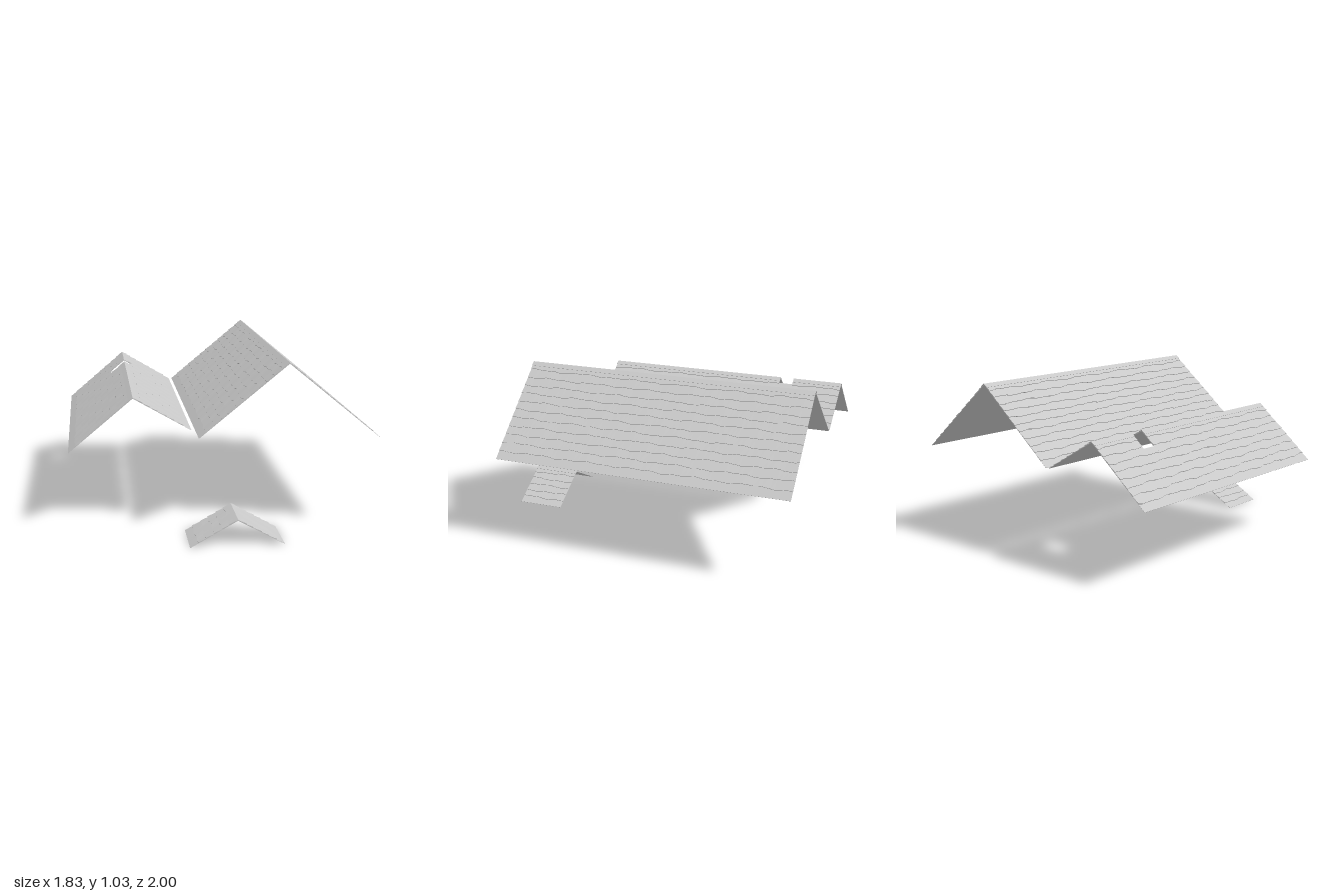
import * as THREE from 'three';

const shingle = new THREE.MeshStandardMaterial({ color: 0xc8c8c8, side: THREE.DoubleSide, flatShading: true });
shingle.name = 'light grey shingle';

const LIFT = 0.005; // how far each course's butt edge stands proud
const DEPTH = 0.004; // underside depth at the ridge, tapering to the eave

// Gentle unevenness of a course's lower edge
function wobble(course, z) {
  return 0.004 * Math.sin(z * 19 + course * 2.3)
    + 0.003 * Math.sin(z * 47 + course * 5.1)
    + 0.0012 * Math.sin(z * 103 + course * 1.7);
}

// Sheet from rows of [distance(z), height], laid down the slope from ridge to eave.
// With a base depth, it also gets an underside and closed gable ends.
function sheet(name, ridge, eave, z0, z1, rows, depth = 0) {
  const dir = new THREE.Vector2().subVectors(eave, ridge).normalize();
  const length = ridge.distanceTo(eave);
  const side = Math.sign(dir.x);
  const columns = Math.max(2, Math.ceil((z1 - z0) / 0.025));
  const positions = [], index = [];
  const addPoint = (d, height, z) => {
    positions.push(ridge.x + dir.x * d - dir.y * side * height, ridge.y + dir.y * d + dir.x * side * height, z);
    return positions.length / 3 - 1;
  };
  const addQuad = (a, b, c, d) => {
    if (side > 0) index.push(a, b, c, a, c, d);
    else index.push(a, c, b, a, d, c);
  };
  const under = d => -depth * (1 - d / length);
  const columnZ = c => z0 + (z1 - z0) * c / columns;

  // Stepped top
  const grid = rows.map(([distance, height]) =>
    Array.from({ length: columns + 1 }, (_, c) => addPoint(distance(columnZ(c)), height, columnZ(c))));
  for (let r = 0; r < rows.length - 1; r++) {
    for (let c = 0; c < columns; c++) {
      addQuad(grid[r][c], grid[r][c + 1], grid[r + 1][c + 1], grid[r + 1][c]);
    }
  }

  if (depth > 0) {
    // Flat underside and eave edge
    const start = rows[0][0](z0), last = rows[rows.length - 1][1];
    const corner = (d, z) => addPoint(d, under(d), z);
    addQuad(corner(start, z1), corner(start, z0), corner(length, z0), corner(length, z1));
    addQuad(addPoint(length, last, z0), addPoint(length, last, z1), corner(length, z1), corner(length, z0));
    // Gable ends
    for (const z of [z0, z1]) {
      for (let r = 0; r < rows.length - 1; r++) {
        const d0 = rows[r][0](z), d1 = rows[r + 1][0](z);
        if (d1 - d0 < 1e-6) continue;
        const quad = [addPoint(d0, rows[r][1], z), addPoint(d1, rows[r + 1][1], z), corner(d1, z), corner(d0, z)];
        addQuad(...(z === z0 ? quad : quad.reverse()));
      }
    }
  }

  const geometry = new THREE.BufferGeometry();
  geometry.setAttribute('position', new THREE.Float32BufferAttribute(positions, 3));
  geometry.setIndex(index);
  geometry.computeVertexNormals();
  const mesh = new THREE.Mesh(geometry, shingle);
  mesh.name = name;
  return mesh;
}

// One slope of stepped courses, starting at a distance below the ridge
function slope(name, ridge, eave, z0, z1, courses, start) {
  const length = ridge.distanceTo(eave);
  const step = length / courses;
  const rows = [[() => start, 0]];
  for (let i = 1; i < courses; i++) {
    if (i * step < start + 0.01) continue;
    const edge = z => i * step + wobble(i, z);
    rows.push([edge, LIFT], [edge, 0]);
  }
  rows.push([() => length, LIFT * 0.4]);
  return sheet(name, ridge, eave, z0, z1, rows, DEPTH);
}

// Gable roof: two slopes and a ridge cap, with an optional chimney opening across the ridge
function gableRoof({ name, ridge, eaves, z, courses, cap, opening }) {
  const roof = new THREE.Group();
  roof.name = name;
  const top = new THREE.Vector2(...ridge);
  const spans = opening
    ? [[z[0], opening.z[0]], [opening.z[0], opening.z[1], true], [opening.z[1], z[1]]]
    : [z];
  eaves.forEach((point, s) => {
    const eave = new THREE.Vector2(...point);
    const label = s === 0 ? 'right' : 'left';
    for (const [a, b, cut] of spans) {
      const ratio = cut ? (opening.x[s] - top.x) / (eave.x - top.x) : 0;
      roof.add(slope(label + 'Slope', top, eave, a, b, courses[s], ratio * top.distanceTo(eave)));
      if (cut) continue;
      // Cap overhangs the gable ends slightly
      const c0 = a === z[0] ? a - 0.002 : a, c1 = b === z[1] ? b + 0.003 : b;
      const capTop = new THREE.Vector2(top.x, top.y + 0.003), capEave = new THREE.Vector2(eave.x, eave.y + 0.003);
      roof.add(sheet(label + 'RidgeCap', capTop, capEave, c0, c1,
        [[() => 0, 0], [() => cap, LIFT * 0.5], [() => cap, -0.001]]));
    }
  });
  return roof;
}

export function createModel() {
  const model = new THREE.Group();
  model.name = 'shingleRoofs';
  model.add(
    gableRoof({
      name: 'mainRoof', ridge: [0.365, 1.028], eaves: [[-0.161, 0.596], [0.914, 0.571]],
      z: [-0.998, 0.814], courses: [12, 12], cap: 0.034,
    }),
    gableRoof({
      name: 'sideRoof', ridge: [-0.53, 0.803], eaves: [[-0.915, 0.478], [-0.184, 0.596]],
      z: [-0.998, 0.609], courses: [9, 7], cap: 0.034,
      opening: { x: [-0.623, -0.488], z: [-0.675, -0.585] },
    }),
    gableRoof({
      name: 'porchRoof', ridge: [0.042, 0.157], eaves: [[-0.234, 0], [0.316, 0]],
      z: [0.702, 0.995], courses: [6, 6], cap: 0.028,
    }),
  );
  return model;
}
